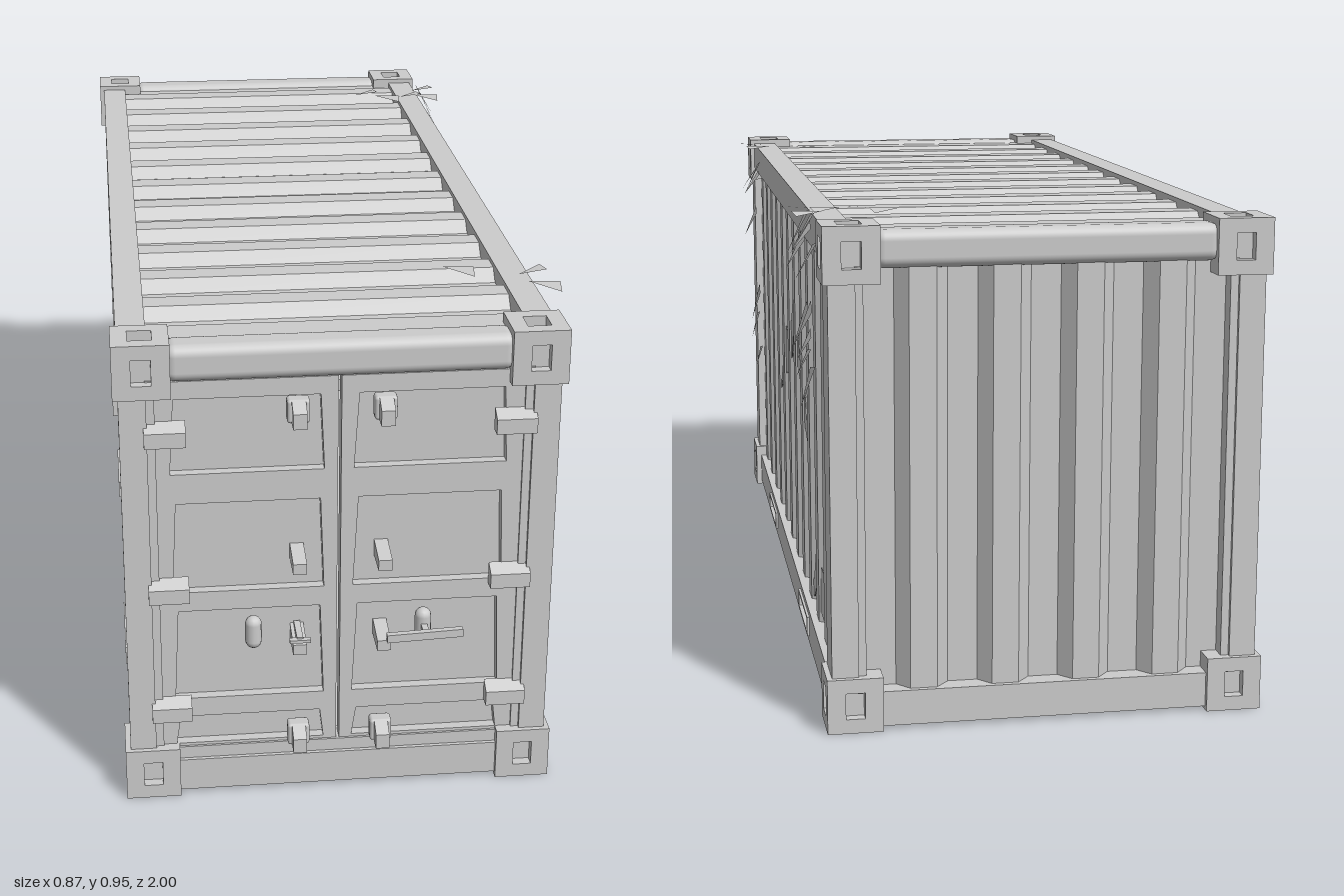
import * as THREE from 'three';
import { RoundedBoxGeometry } from 'three/addons/geometries/RoundedBoxGeometry.js';

const steel = new THREE.MeshStandardMaterial({ color: 0xcccccc, side: THREE.DoubleSide });
steel.name = 'grey steel';

const V = (x, y, z) => new THREE.Vector3(x, y, z);
const polygon = (pts) => new THREE.Shape(pts.map(([x, y]) => new THREE.Vector2(x, y)));
const rect = (x0, y0, x1, y1) => [[x0, y0], [x1, y0], [x1, y1], [x0, y1]];

function add(parent, name, geometry, x = 0, y = 0, z = 0) {
  const mesh = new THREE.Mesh(geometry, steel);
  mesh.name = name;
  mesh.position.set(x, y, z);
  parent.add(mesh);
  return mesh;
}
const box = (parent, name, w, h, d, x, y, z) => add(parent, name, new THREE.BoxGeometry(w, h, d), x, y, z);

// Flat plate with polygon holes, centred on its thickness
function plate(outline, holes, depth) {
  const shape = polygon(outline);
  holes.forEach((h) => shape.holes.push(polygon(h)));
  return new THREE.ExtrudeGeometry(shape, { depth, bevelEnabled: false }).translate(0, 0, -depth / 2);
}

// Corrugated sheet: ribs along u, crests at d = 0, extruded by length; shift moves the ribs
function corrugated(halfU, length, groove, shift = 0) {
  const period = 0.1545, top = [];
  const n = Math.ceil(halfU / period) + 1;
  for (let i = -n; i <= n; i++) {
    const c = i * period + shift;
    top.push([c - 0.052, 0], [c - 0.028, -groove], [c + 0.028, -groove], [c + 0.052, 0]);
  }
  const kept = top.filter(([u]) => Math.abs(u) < halfU);
  const line = [[-halfU, kept[0][1]], ...kept, [halfU, kept[kept.length - 1][1]]];
  const under = line.map(([u, d]) => [u, d - 0.006]).reverse();
  return plate([...line, ...under], [], length);
}

// Corner casting: core block with a pierced plate on each outer face
function casting(parent, sx, sy, sz) {
  const g = new THREE.Group();
  g.name = 'cornerCasting';
  const s = 0.105, t = 0.02, h = s / 2, o = h - t / 2;
  box(g, 'castingCore', s - t, s - t, s - t, -sx * t / 2, -sy * t / 2, -sz * t / 2);
  const face = (w, k) => plate(rect(-h, -h, h, h), [rect(-w, -k, w, k)], t);
  add(g, 'castingEnd', face(0.018, 0.025), 0, 0, sz * o);
  add(g, 'castingSide', face(0.022, 0.028).rotateY(Math.PI / 2), sx * o, 0, 0);
  add(g, 'castingCap', face(0.022, 0.024).rotateX(Math.PI / 2), 0, sy * o, 0);
  g.position.set(sx * (0.415 - h), sy > 0 ? 0.945 - h : h, sz * (0.9825 - h));
  parent.add(g);
}

// One door leaf: frame with tapered recessed panels between a and b
function door(parent, name, x0, x1, a, b) {
  const rows = [[0.105, 0.165], [0.205, 0.395], [0.435, 0.62], [0.68, 0.83]];
  const holes = rows.map(([y0, y1]) => [[a, y0], [b, y0], [b - 0.007, y1], [a + 0.009, y1]]);
  add(parent, name + 'Frame', plate(rect(x0, 0.08, x1, 0.865), holes, 0.02), 0, 0, 0.95);
  box(parent, name + 'Panel', x1 - x0, 0.785, 0.012, (x0 + x1) / 2, 0.472, 0.934);
}

// Wedge pointing forward, used for the hinges, cams and rod guides
function wedge(w, h, d) {
  const g = plate([[0, -h / 2], [d, -h / 2], [d, h / 6], [0, h / 2]], [], w);
  return g.rotateY(-Math.PI / 2);
}

// Hanging leaf triangle
function leaf(parent, a, b, c) {
  const g = new THREE.BufferGeometry().setFromPoints([a, b, c]);
  g.computeVertexNormals();
  add(parent, 'ivyLeaf', g);
}

export function createModel() {
  const model = new THREE.Group();
  model.name = 'shippingContainer';
  const body = new THREE.Group();
  body.name = 'containerBody';
  body.position.set(-0.02, 0, -0.0175);
  model.add(body);

  // Castings, posts and end rails
  for (const sz of [-1, 1]) {
    for (const sx of [-1, 1]) {
      casting(body, sx, -1, sz);
      casting(body, sx, 1, sz);
      box(body, 'cornerPost', 0.05, 0.78, 0.085, sx * 0.38, 0.472, sz * 0.93);
      box(body, 'postStep', 0.016, 0.8, 0.06, sx * 0.348, 0.47, sz * 0.935);
    }
    add(body, 'topEndRail', new RoundedBoxGeometry(0.64, 0.07, 0.07, 4, 0.02), 0, 0.8995, sz * 0.937);
    box(body, 'topEndLedge', 0.64, 0.05, 0.05, 0, 0.897, sz * 0.895);
    box(body, 'bottomEndRail', 0.64, 0.067, 0.07, 0, 0.0405, sz * 0.937);
  }
  box(body, 'doorSill', 0.68, 0.026, 0.045, 0, 0.086, 0.942);

  // Side rails, fork pockets and side walls
  const wall = corrugated(0.9, 0.81, 0.032);
  for (const s of [-1, 1]) {
    box(body, 'topSideRail', 0.055, 0.065, 1.77, s * 0.3775, 0.9025, 0);
    const pockets = [-0.4, 0.42].map((z) => rect(z - 0.09, 0.033, z + 0.09, 0.062));
    const rail = plate(rect(-0.885, 0.01, 0.885, 0.08), pockets, 0.04).rotateY(-Math.PI / 2);
    add(body, 'bottomSideRail', rail, s * 0.382, 0, 0);
    for (const z of [-0.4, 0.42]) {
      box(body, 'forkPocketBack', 0.012, 0.05, 0.22, s * 0.364, 0.047, z);
      const rim = plate(rect(-0.1, -0.02, 0.1, 0.02), [rect(-0.09, -0.0145, 0.09, 0.0145)], 0.006);
      add(body, 'forkPocketRim', rim.rotateY(Math.PI / 2), s * 0.404, 0.0475, z);
    }
    const side = add(body, 'sideWall', wall);
    side.quaternion.setFromRotationMatrix(new THREE.Matrix4().makeBasis(V(0, 0, s), V(s, 0, 0), V(0, 1, 0)));
    side.position.set(s * 0.388, 0.475, 0);

    // Torn flat patches bridging the grooves, outlined as z, y
    const patches = [
      [[0.38, 0.35], [0.27, 0.47], [0.2, 0.49], [0.18, 0.56], [0.07, 0.55], [0.01, 0.62], [-0.04, 0.69], [-0.09, 0.62],
        [-0.16, 0.57], [-0.2, 0.52], [-0.28, 0.5], [-0.38, 0.38], [-0.28, 0.42], [-0.21, 0.4], [-0.18, 0.5],
        [-0.1, 0.53], [-0.05, 0.61], [0.02, 0.52], [0.1, 0.46], [0.18, 0.45], [0.22, 0.41], [0.28, 0.42]],
      [[-0.37, 0.09], [-0.4, 0.15], [-0.44, 0.12], [-0.49, 0.2], [-0.53, 0.19], [-0.55, 0.11], [-0.5, 0.13], [-0.45, 0.09]],
      [[-0.58, 0.1], [-0.6, 0.2], [-0.67, 0.2], [-0.74, 0.21], [-0.72, 0.14], [-0.66, 0.16], [-0.64, 0.1]],
    ];
    for (const p of patches) {
      add(body, 'tornPatch', plate(p, [], 0.002).rotateY(-Math.PI / 2), s * 0.383, 0, 0.0175);
    }
  }

  // Roof, back wall and floor
  const roof = add(body, 'roof', corrugated(0.9, 0.72, 0.024, -0.013), 0, 0.926, 0);
  roof.quaternion.setFromRotationMatrix(new THREE.Matrix4().makeBasis(V(0, 0, -1), V(0, 1, 0), V(1, 0, 0)));
  const back = add(body, 'backWall', corrugated(0.355, 0.8, 0.028), 0, 0.47, -0.962);
  back.quaternion.setFromRotationMatrix(new THREE.Matrix4().makeBasis(V(1, 0, 0), V(0, 0, -1), V(0, 1, 0)));
  box(body, 'floor', 0.75, 0.012, 1.86, 0, 0.034, 0);

  // Doors with a narrow gap between them
  door(body, 'rightDoor', -0.345, -0.005, -0.315, -0.03);
  door(body, 'leftDoor', 0.001, 0.341, 0.025, 0.31);

  // Hinges, cams, lock plates and handle
  for (const s of [-1, 1]) {
    for (const y of [0.19, 0.447, 0.767]) {
      add(body, 'hinge', wedge(0.076, 0.044, 0.026), s * 0.323, y, 0.959);
    }
    const x = s * 0.08;
    for (const y of [0.124, 0.806]) {
      add(body, 'camBracket', new RoundedBoxGeometry(0.042, 0.046, 0.03, 2, 0.006), x, y, 0.969);
      add(body, 'cam', wedge(0.026, 0.045, 0.032), x, y, 0.98);
    }
    for (const y of [0.332, 0.503]) add(body, 'rodGuide', wedge(0.026, 0.032, 0.067), x, y, 0.94);
    const lock = new THREE.CapsuleGeometry(0.016, 0.035, 4, 12);
    const lockX = s > 0 ? 0.16 : -0.165;
    add(body, 'lockPlate', lock, lockX, 0.348, 0.966);
    box(body, 'lockStem', 0.012, 0.012, 0.065, s > 0 ? 0.16 : -0.08, 0.348, 0.975);
  }
  box(body, 'handleBar', 0.145, 0.016, 0.012, 0.157, 0.348, 1.011).rotation.z = 0.04;
  box(body, 'handleStub', 0.04, 0.006, 0.012, -0.08, 0.348, 1.008);

  // Ivy leaves hanging on the left side, listed as z, y
  const hanging = [[0.74, 0.86], [0.73, 0.75], [0.6, 0.88], [0.63, 0.86], [0.72, 0.48], [0.65, 0.55], [0.63, 0.41],
    [-0.63, 0.86], [-0.7, 0.91], [-0.76, 0.9], [-0.84, 0.87], [-0.68, 0.72], [-0.7, 0.65], [-0.76, 0.74],
    [-0.77, 0.62], [-0.74, 0.69], [-0.8, 0.92]];
  hanging.forEach(([z, y], i) => {
    const r = 0.024 + 0.006 * (i % 3), out = 0.405 + 0.025 * Math.max(0, (y - 0.4) / 0.5);
    const k = i % 2 ? 1 : -1;
    leaf(model, V(0.39, y + r, z + k * r), V(0.393, y + r * 0.6, z - k * r), V(out, y - r * 1.4, z));
  });
  // Leaves lying over the roof edge, listed as x, z
  const lying = [[0.25, -0.77], [0.3, -0.7], [0.4, -0.8], [0.4, -0.7], [0.36, -0.74], [0.25, 0.63], [0.39, 0.63], [0.4, 0.73]];
  lying.forEach(([x, z], i) => {
    const k = i % 2 ? 1 : -1, r = 0.03;
    leaf(model, V(x - r, 0.945, z - k * r), V(x + r, 0.948, z - k * r * 0.5), V(x + r * 0.8, 0.943, z + k * r));
  });
  return model;
}
